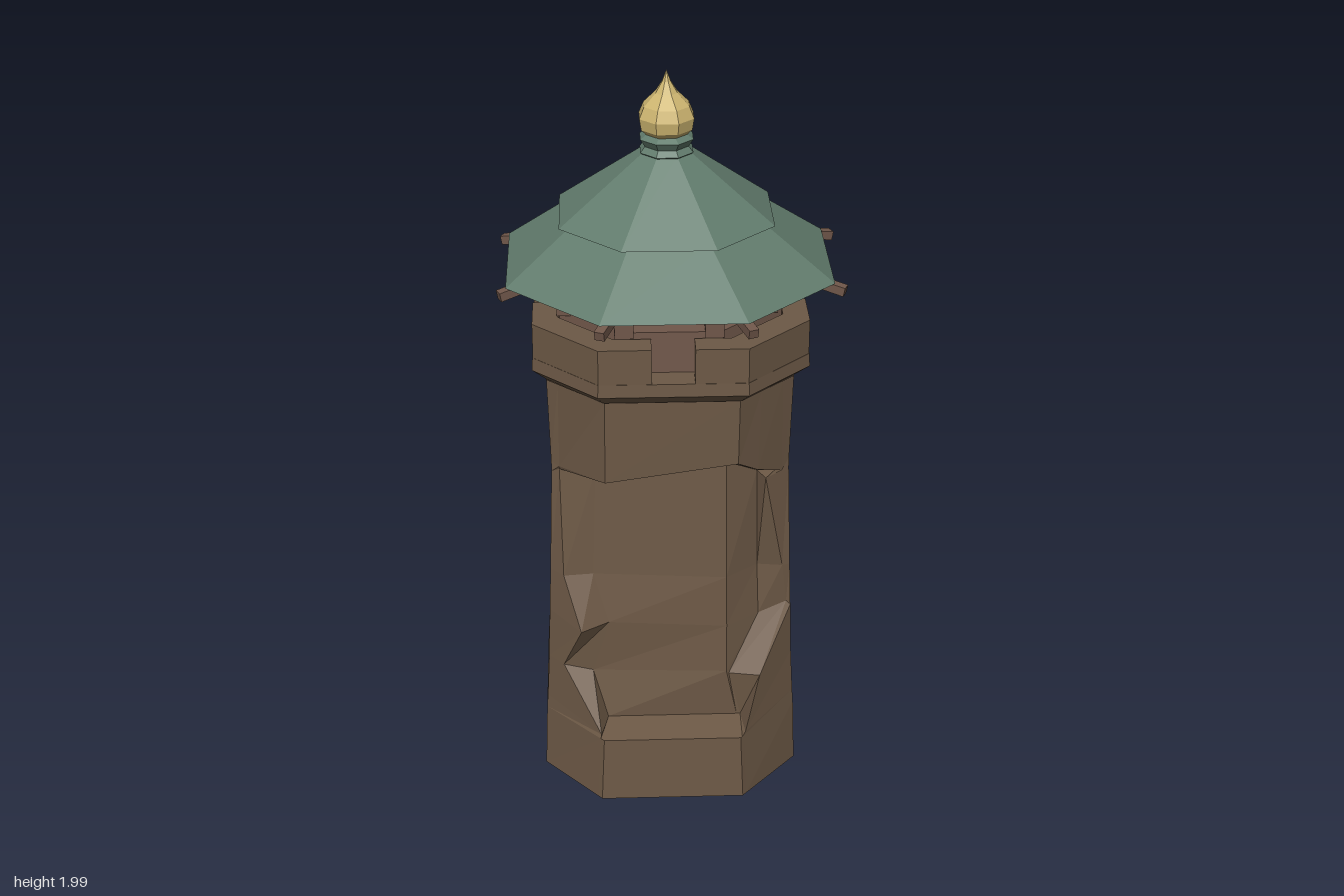
import * as THREE from 'three';

const material = (name, color) => {
  const m = new THREE.MeshStandardMaterial({ color, side: THREE.DoubleSide, flatShading: true });
  m.name = name;
  return m;
};

// Octagon with corners at (±h, ±a) and (±a, ±h), anticlockwise from above
function octagon(y, a, h, cx = 0, cz = 0) {
  return [[-h, a], [h, a], [a, h], [a, -h], [h, -a], [-h, -a], [-a, -h], [-a, h]]
    .map(([x, z]) => [x + cx, y, z + cz]);
}

// Skin through rings of equal point count, optionally closing the last ring
function loft(rings, cap = false) {
  const pos = [];
  const n = rings[0].length;
  for (let r = 0; r + 1 < rings.length; r++) {
    for (let i = 0; i < n; i++) {
      const j = (i + 1) % n;
      const [a, b, c, d] = [rings[r][i], rings[r][j], rings[r + 1][j], rings[r + 1][i]];
      pos.push(...a, ...b, ...c, ...a, ...c, ...d);
    }
  }
  if (cap) {
    const top = rings[rings.length - 1];
    for (let i = 1; i + 1 < n; i++) pos.push(...top[0], ...top[i], ...top[i + 1]);
  }
  const g = new THREE.BufferGeometry();
  g.setAttribute('position', new THREE.Float32BufferAttribute(pos, 3));
  g.computeVertexNormals();
  return g;
}

// Shaft ring: five front points, then the six side and back corners
const shaftRing = (y, a, front) => [...front, ...octagon(y, a, 0.19, -0.006, 0.003).slice(2)];

// Shaft ring without the recess: spare points lie along the diagonal sides, up to fraction t
function solidRing(y, a, z, w, t) {
  const left = [-0.006 - w, y, z];
  const right = [-0.006 + w, y, z];
  const toward = (p, x, f) => [p[0] + (x - p[0]) * f, y, z + (0.193 - z) * f];
  return shaftRing(y, a, [toward(left, -a - 0.006, t), left, right,
    toward(right, a - 0.006, t / 2), toward(right, a - 0.006, t)]);
}

export function createModel() {
  const tower = new THREE.Group();
  tower.name = 'watchtower';
  const stone = material('brown stone', 0x6d5946);
  const wood = material('brown timber', 0x70574a);
  const green = material('green roof', 0x627c6d);
  const gold = material('gold', 0xcdb570);

  const add = (name, geometry, mat, parent = tower) => {
    const mesh = new THREE.Mesh(geometry, mat);
    mesh.name = name;
    parent.add(mesh);
    return mesh;
  };

  // Recess rows: height, side half-width, then left jamb, left floor, ridge, right floor, right jamb
  const recess = [
    [0.24, 0.342, [[-0.2, 0.21, 0.35], [-0.18, 0.215, 0.27], [0.175, 0.215, 0.27], [0.185, 0.215, 0.27], [0.195, 0.21, 0.35]]],
    [0.37, 0.335, [[-0.3, 0.37, 0.24], [-0.22, 0.35, 0.24], [0.145, 0.36, 0.275], [0.152, 0.35, 0.27], [0.235, 0.36, 0.3]]],
    [0.52, 0.33, [[-0.25, 0.5, 0.285], [-0.175, 0.51, 0.25], [0.145, 0.5, 0.265], [0.235, 0.5, 0.2], [0.312, 0.53, 0.19]]],
    [0.65, 0.325, [[-0.295, 0.645, 0.225], [-0.215, 0.65, 0.225], [0.143, 0.65, 0.258], [0.23, 0.65, 0.19], [0.298, 0.65, 0.2]]],
    [0.95, 0.315, [[-0.3, 0.96, 0.2], [-0.205, 0.96, 0.21], [0.14, 0.99, 0.237], [0.225, 0.94, 0.19], [0.245, 0.94, 0.235]]],
    [0.98, 0.315, [[-0.3, 0.97, 0.205], [-0.18, 0.985, 0.33], [0.165, 1.035, 0.33], [0.22, 0.99, 0.28], [0.29, 0.95, 0.21]]],
  ];
  add('shaft', loft([
    solidRing(0.01, 0.352, 0.372, 0.195, 0.06),
    solidRing(0.2, 0.345, 0.365, 0.187, 0.06),
    ...recess.map((row) => shaftRing(...row)),
    solidRing(1.22, 0.322, 0.335, 0.173, 0.8),
  ]), stone);

  // Flared crown with a walkway
  add('crown', loft([
    octagon(1.215, 0.322, 0.175, -0.006, 0.005),
    octagon(1.25, 0.36, 0.192, -0.004, 0.007),
    octagon(1.285, 0.358, 0.19, -0.004, 0.007),
  ], true), stone);

  // Battlements wrapping the four diagonal sides
  const outline = [[0.055, 0.357], [0.19, 0.357], [0.357, 0.19], [0.357, 0.055],
    [0.29, 0.055], [0.29, 0.15], [0.15, 0.29], [0.055, 0.29]];
  const merlon = new THREE.ExtrudeGeometry(
    new THREE.Shape(outline.map(([x, z]) => new THREE.Vector2(x, z))),
    { depth: 0.1, bevelEnabled: false });
  merlon.rotateX(-Math.PI / 2);
  for (let i = 0; i < 4; i++) {
    const m = add('battlement', merlon, stone);
    m.rotation.y = i * Math.PI / 2;
    m.position.set(-0.004, 1.28, 0.007);
  }

  // Lookout floor, posts and the timber ring they carry
  add('lookoutFloor', loft([octagon(1.28, 0.295, 0.125), octagon(1.395, 0.29, 0.12)], true), wood);
  octagon(1.425, 0.262, 0.115, -0.012, 0.01).forEach((p) => {
    const post = add('post', new THREE.BoxGeometry(0.048, 0.09, 0.048), wood);
    post.position.set(...p);
  });
  add('eavesRing', loft([
    octagon(1.445, 0.285, 0.12), octagon(1.445, 0.335, 0.14),
    octagon(1.485, 0.335, 0.14), octagon(1.485, 0.285, 0.12), octagon(1.445, 0.285, 0.12),
  ]), wood);

  // Rafters poking out beneath the roof corners, one longer than the rest
  octagon(0, 0.42, 0.18).forEach(([x, , z], i) => {
    const rafter = new THREE.Group();
    rafter.name = 'rafter';
    const length = i === 4 ? 0.2 : 0.165;
    const beam = add('rafterBeam', new THREE.BoxGeometry(0.026, 0.024, length), wood, rafter);
    beam.position.set(0, 1.473, 0.318 + length / 2);
    beam.rotation.x = 0.2;
    rafter.rotation.y = Math.atan2(x, z);
    tower.add(rafter);
  });

  // Two-tier roof
  add('lowerRoof', loft([
    octagon(1.478, 0.42, 0.184, -0.005, 0.007),
    octagon(1.62, 0.24, 0.1, -0.01, 0.012),
  ]), green);
  add('upperRoof', loft([
    octagon(1.615, 0.275, 0.12, -0.012, 0.015),
    octagon(1.79, 0.06, 0.025, -0.01, 0.033),
  ]), green);

  // Collar and onion finial
  const turned = (name, profile, mat) => {
    const g = new THREE.LatheGeometry(profile.map((p) => new THREE.Vector2(...p)), 8, Math.PI / 8);
    add(name, g, mat).position.set(-0.01, 0, 0.035);
  };
  turned('collar', [[0.055, 1.775], [0.073, 1.79], [0.06, 1.805], [0.073, 1.825], [0.05, 1.84]], green);
  turned('finial', [[0.05, 1.83], [0.07, 1.85], [0.075, 1.88], [0.062, 1.91], [0.03, 1.942],
    [0.012, 1.97], [0, 2]], gold);

  return tower;
}
